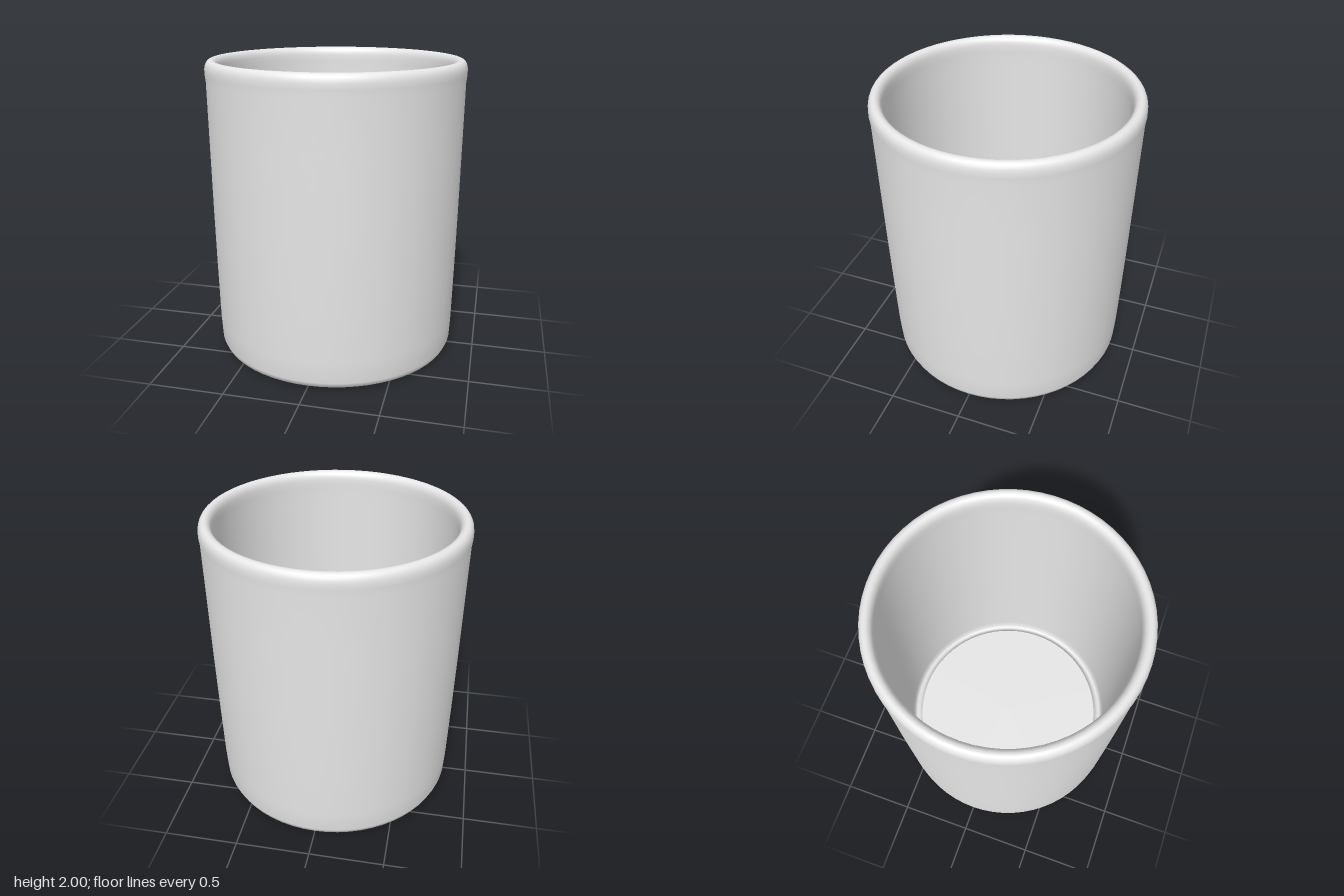
import * as THREE from 'three';

const SEGMENTS = 64;

export function createModel() {
  const group = new THREE.Group();
  const ceramic = new THREE.MeshStandardMaterial({ color: 0xe6e6e6 });
  ceramic.name = 'pale grey ceramic';

  const add = (name, geometry) => {
    const mesh = new THREE.Mesh(geometry, ceramic);
    mesh.name = name;
    group.add(mesh);
    return mesh;
  };
  // Each profile is a list of [radius, height]; separate lathes meet in sharp edges
  const turn = (name, profile) =>
    add(name, new THREE.LatheGeometry(profile.map(([r, y]) => new THREE.Vector2(r, y)), SEGMENTS));

  // Rounded foot, slightly tapered wall and rolled rim, ending at the rim's inner edge
  const outer = [
    [0.675, 0.035], [0.69, 0.014], [0.715, 0.003], [0.745, 0], [0.785, 0.007], [0.815, 0.02],
    [0.83, 0.055], [0.837, 0.2], [0.844, 0.6], [0.849, 1], [0.853, 1.5], [0.856, 1.86],
  ];
  for (let i = 0; i <= 14; i++) {
    const a = (i / 14) * Math.PI;
    // Tall, flattened half round of the lip
    outer.push([0.818 + 0.044 * Math.cos(a), 1.91 + 0.09 * Math.max(0, Math.sin(a)) ** 0.65]);
  }
  outer.push([0.775, 1.875]);
  turn('outerWall', outer);

  // Inner wall, running down into a shallow groove around the raised floor
  turn('innerWall', [
    [0.775, 1.875], [0.776, 1.8], [0.775, 1.5], [0.773, 0.8], [0.771, 0.18],
    [0.765, 0.13], [0.75, 0.11], [0.73, 0.115], [0.715, 0.13], [0.7, 0.155],
  ]);

  // Floor inside the cup
  const floor = add('floor', new THREE.CircleGeometry(0.7, SEGMENTS));
  floor.rotation.x = -Math.PI / 2;
  floor.position.y = 0.155;

  // Recess underneath
  turn('footRecessWall', [[0.675, 0.105], [0.675, 0.035]]);
  const base = add('base', new THREE.CircleGeometry(0.675, SEGMENTS));
  base.rotation.x = Math.PI / 2;
  base.position.y = 0.105;

  return group;
}
